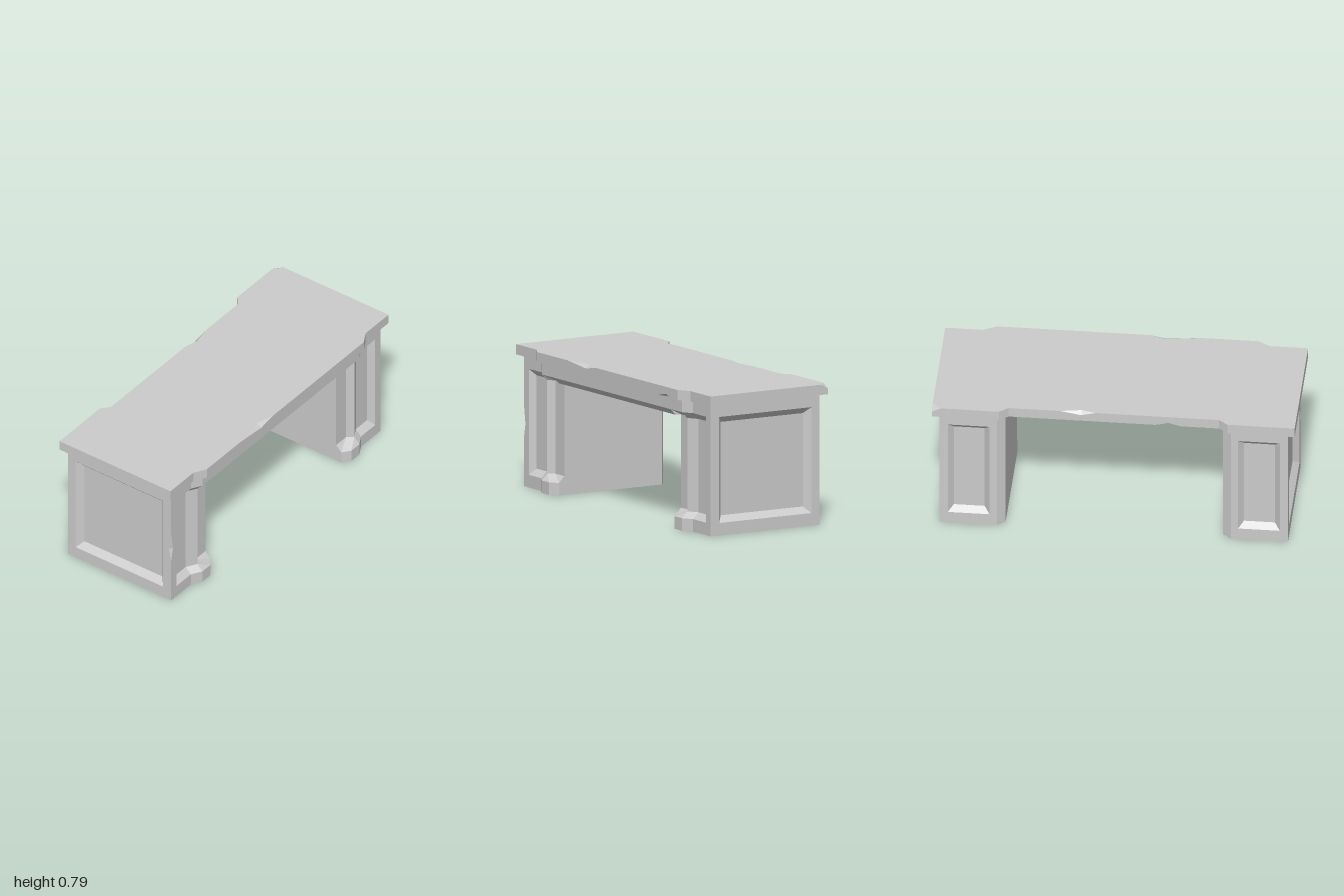
import * as THREE from 'three';

const material = new THREE.MeshStandardMaterial({ color: 0xcccccc, flatShading: true });

// Collects faces given as corner points, then turns them into one mesh
function makeSkin() {
  const tris = [];
  const tri = (a, b, c) => tris.push([a, b, c]);
  const quad = (a, b, c, d) => { tri(a, b, c); tri(a, c, d); };
  const grid = (rows, closed) => {
    for (let i = 0; i < rows.length - 1; i++) {
      const n = rows[i].length;
      for (let j = 0; j < (closed ? n : n - 1); j++) {
        const k = (j + 1) % n;
        quad(rows[i][j], rows[i][k], rows[i + 1][k], rows[i + 1][j]);
      }
    }
  };
  // flat: counter-clockwise 2D outline, place: maps (u, v) to a 3D point
  const flat = (outline, place) => {
    const pts = outline.map(([u, v]) => new THREE.Vector2(u, v));
    for (const f of THREE.ShapeUtils.triangulateShape(pts, [])) {
      tri(...f.map((i) => place(...outline[i])));
    }
  };
  const mesh = (name, side = 1) => {
    const pos = [];
    for (const t of tris) {
      const v = t.map(([x, y, z]) => new THREE.Vector3(x * side, y, z));
      if (side < 0) v.reverse();
      if (new THREE.Triangle(...v).getArea() < 1e-8) continue;
      v.forEach((p) => pos.push(p.x, p.y, p.z));
    }
    const geo = new THREE.BufferGeometry();
    geo.setAttribute('position', new THREE.Float32BufferAttribute(pos, 3));
    geo.computeVertexNormals();
    const m = new THREE.Mesh(geo, material);
    m.name = name;
    return m;
  };
  return { tri, quad, grid, flat, mesh };
}

const H = 0.73; // underside of the top

// Pedestal with recessed panels; side mirrors it, chip nicks the outer front edge
function pedestal(name, side, chip) {
  const s = makeSkin();
  const nick = [0.27, 0.35, 0.46];

  // Front: columns [outer x, foot z, apron z, recess x, recess z]
  const columns = [
    [0.6, 0.335, 0.37, 0.6, 0.3],
    [0.645, 0.37, 0.37, 0.69, 0.3],
    [0.72, 0.37, 0.37, 0.72, 0.335],
    [0.78, 0.335, 0.335, 0.78, 0.3],
    [0.91, 0.335, 0.335, 0.885, 0.3],
    [0.91, 0.335, 0.335, 0.91, 0.335],
    [0.96, 0.335, 0.335, 0.96, 0.335],
  ];
  const rows = [0, 0.07, 0.105, ...nick, 0.625, 0.66, H].map((y) =>
    columns.map(([x, footZ, apronZ, rx, rz], j) => {
      if (y <= 0.07) return [x, y, footZ];
      if (y >= 0.66) return [x, y, apronZ];
      const frame = j > 4;
      const fy = frame && y === 0.105 ? 0.07 : frame && y === 0.625 ? 0.66 : y;
      return [j === 6 && y === nick[1] ? rx - chip : rx, fy, rz];
    }));
  s.grid(rows);

  // Outer side: frame, bevel and sunken panel
  const sideRing = (x, zf, zb, y0, y1, dent) => [
    [x, y0, zf], [x, y0, zb], [x, y1, zb], [x, y1, zf],
    [x, nick[2], zf], [x, nick[1], zf - dent], [x, nick[0], zf],
  ];
  s.grid([
    sideRing(0.96, 0.335, -0.37, 0, H, chip),
    sideRing(0.96, 0.28, -0.32, 0.07, 0.66, 0),
    sideRing(0.925, 0.248, -0.285, 0.105, 0.625, 0),
  ], true);
  s.quad(...sideRing(0.925, 0.248, -0.285, 0.105, 0.625, 0).slice(0, 4));

  // Chipped facets
  const edge = (y, dx, dz) => [0.96 - dx, y, 0.335 - dz];
  s.tri(edge(nick[0], 0, 0), edge(nick[1], 0, chip), edge(nick[1], chip, 0));
  s.tri(edge(nick[2], 0, 0), edge(nick[1], chip, 0), edge(nick[1], 0, chip));

  // Back: frame, bevel and sunken panel
  const backRing = (z, x0, x1, y0, y1) => [[x1, y0, z], [x0, y0, z], [x0, y1, z], [x1, y1, z]];
  const backFloor = backRing(-0.335, 0.715, 0.885, 0.1, 0.625);
  s.grid([
    backRing(-0.37, 0.645, 0.96, 0, H),
    backRing(-0.37, 0.685, 0.915, 0.07, 0.66),
    backFloor,
  ], true);
  s.quad(...backFloor);

  // Chamfered back corner, inner wall, underside
  s.quad([0.645, 0, -0.37], [0.6, 0, -0.335], [0.6, H, -0.335], [0.645, H, -0.37]);
  s.flat([[-0.335, 0], [0.335, 0], [0.335, 0.07], [0.3, 0.105], [0.3, 0.625],
    [0.37, 0.66], [0.37, H], [-0.335, H]], (z, y) => [0.6, y, z]);
  s.flat([[0.645, -0.37], [0.96, -0.37], [0.96, 0.335], [0.78, 0.335],
    [0.72, 0.37], [0.645, 0.37], [0.6, 0.335], [0.6, -0.335]], (x, z) => [x, 0, z]);
  return s.mesh(name, side);
}

// Slab with stepped outline and small chips along its edges
function deskTop() {
  const s = makeSkin();
  const y0 = H, y1 = 0.787;
  // [x, z, top chip {x, z, drop}, bottom chip {z, rise}]
  const outline = [
    [-1, 0.36], [-0.79, 0.36], [-0.72, 0.4],
    [-0.41, 0.4], [-0.22, 0.4, { z: -0.03, drop: 0.018 }], [-0.12, 0.4],
    [0.52, 0.4], [0.6, 0.4, null, { z: -0.03, rise: 0.018 }], [0.67, 0.4],
    [0.72, 0.4], [0.79, 0.36], [1, 0.36],
    [1, -0.355], [1, -0.4, { x: -0.025, z: 0.0225, drop: 0.024 }], [0.95, -0.4],
    [0.63, -0.4], [0.58, -0.36],
    [0.3, -0.36], [0.18, -0.36, { z: 0.02, drop: 0.02 }], [0.1, -0.36],
    [-0.23, -0.36], [-0.3, -0.36, null, { z: 0.025, rise: 0.018 }], [-0.37, -0.36],
    [-0.58, -0.36], [-0.63, -0.4], [-1, -0.4],
  ];
  const bottom = outline.map(([x, z, , b]) => [x, y0, z + (b ? b.z : 0)]);
  const low = outline.map(([x, z, , b]) => [x, y0 + (b ? b.rise : 0), z]);
  const high = outline.map(([x, z, t]) => [x, y1 - (t ? t.drop : 0), z]);
  const top = outline.map(([x, z, t]) => [x + (t?.x ?? 0), y1, z + (t ? t.z : 0)]);
  s.grid([bottom, low, high, top], true);
  s.flat(top.map(([x, , z]) => [x, -z]), (x, v) => [x, y1, -v]);
  s.flat(bottom.map(([x, , z]) => [x, z]).reverse(), (x, z) => [x, y0, z]);
  return s.mesh('deskTop');
}

// Bevelled rail joining the pedestals at the front
function apron() {
  const shape = new THREE.Shape(
    [[-0.37, H], [-0.37, 0.66], [-0.335, 0.625], [-0.3, 0.625], [-0.3, H]]
      .map(([x, y]) => new THREE.Vector2(x, y)));
  const geo = new THREE.ExtrudeGeometry(shape, { depth: 1.2, bevelEnabled: false });
  geo.translate(0, 0, -0.6).rotateY(Math.PI / 2);
  const m = new THREE.Mesh(geo, material);
  m.name = 'frontApron';
  return m;
}

export function createModel() {
  const group = new THREE.Group();
  group.name = 'desk';
  group.add(
    deskTop(),
    apron(),
    pedestal('leftPedestal', 1, 0),
    pedestal('rightPedestal', -1, 0.016),
  );
  return group;
}
